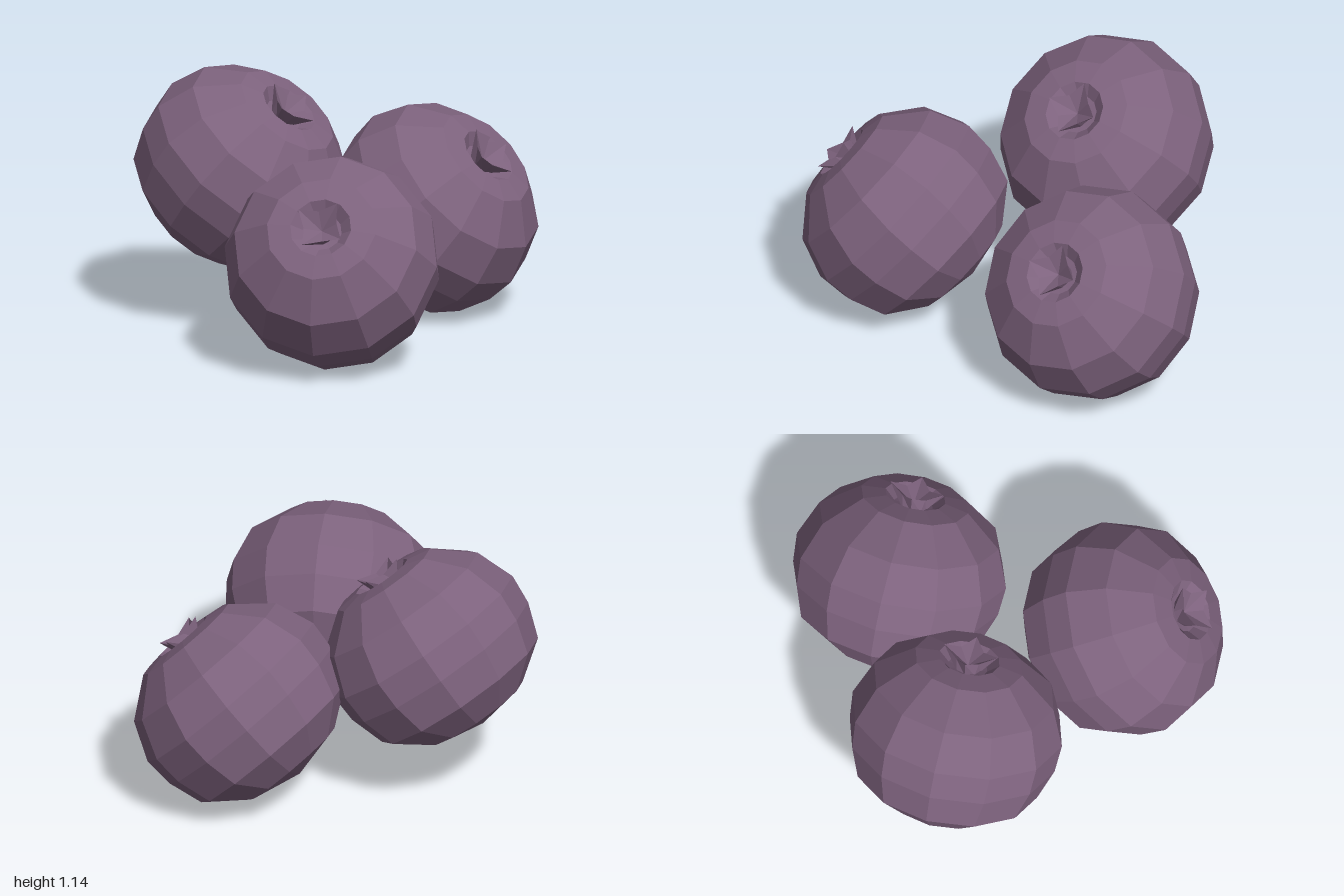
import * as THREE from 'three';

const skin = new THREE.MeshStandardMaterial({ color: 0x7d627d, flatShading: true, side: THREE.DoubleSide });
const deg = THREE.MathUtils.degToRad;

// Faceted berry body: slightly squashed, with a shallow dimple on top
function bodyGeometry() {
  const profile = [
    [0, -0.425], [0.255, -0.367], [0.425, -0.24], [0.48, -0.08], [0.49, 0.06],
    [0.42, 0.237], [0.25, 0.373], [0.14, 0.39], [0.09, 0.345], [0, 0.335],
  ].map(([r, y]) => new THREE.Vector2(r, y));
  return new THREE.LatheGeometry(profile, 12);
}

// Four-pointed crown with a sunken middle
function crownGeometry() {
  const profile = [[0.06, 0.335], [0.125, 0.43], [0, 0.35]].map(([r, y]) => new THREE.Vector2(r, y));
  const geometry = new THREE.LatheGeometry(profile, 8);
  const p = geometry.attributes.position;
  // Pull every other rim corner inward to make the points
  for (let i = 1; i < p.count; i += 3) {
    if (Math.floor(i / 3) % 2 === 1) p.setXYZ(i, p.getX(i) * 0.6, 0.405, p.getZ(i) * 0.6);
  }
  geometry.computeVertexNormals();
  return geometry;
}

export function createModel() {
  const model = new THREE.Group();
  model.name = 'berries';
  const body = bodyGeometry();
  const crown = crownGeometry();

  // Each berry leans by tilt toward +x, is turned by yaw, and spun on its own axis
  const berries = [
    { name: 'upperBerry', at: [-0.375, 0.69, -0.04], tilt: 38, yaw: 0, spin: 0 },
    { name: 'backBerry', at: [0.36, 0.475, -0.51], tilt: 45, yaw: 0, spin: 0 },
    { name: 'frontBerry', at: [0.37, 0.48, 0.54], tilt: 51, yaw: -74, spin: -33 },
  ];
  for (const { name, at, tilt, yaw, spin } of berries) {
    const berry = new THREE.Group();
    berry.name = name;
    berry.position.set(...at);
    berry.rotation.set(0, deg(yaw), deg(-tilt), 'YZX');
    for (const [part, geometry] of [['body', body], ['crown', crown]]) {
      const mesh = new THREE.Mesh(geometry, skin);
      mesh.name = part;
      mesh.rotation.y = deg(spin);
      berry.add(mesh);
    }
    model.add(berry);
  }
  return model;
}
